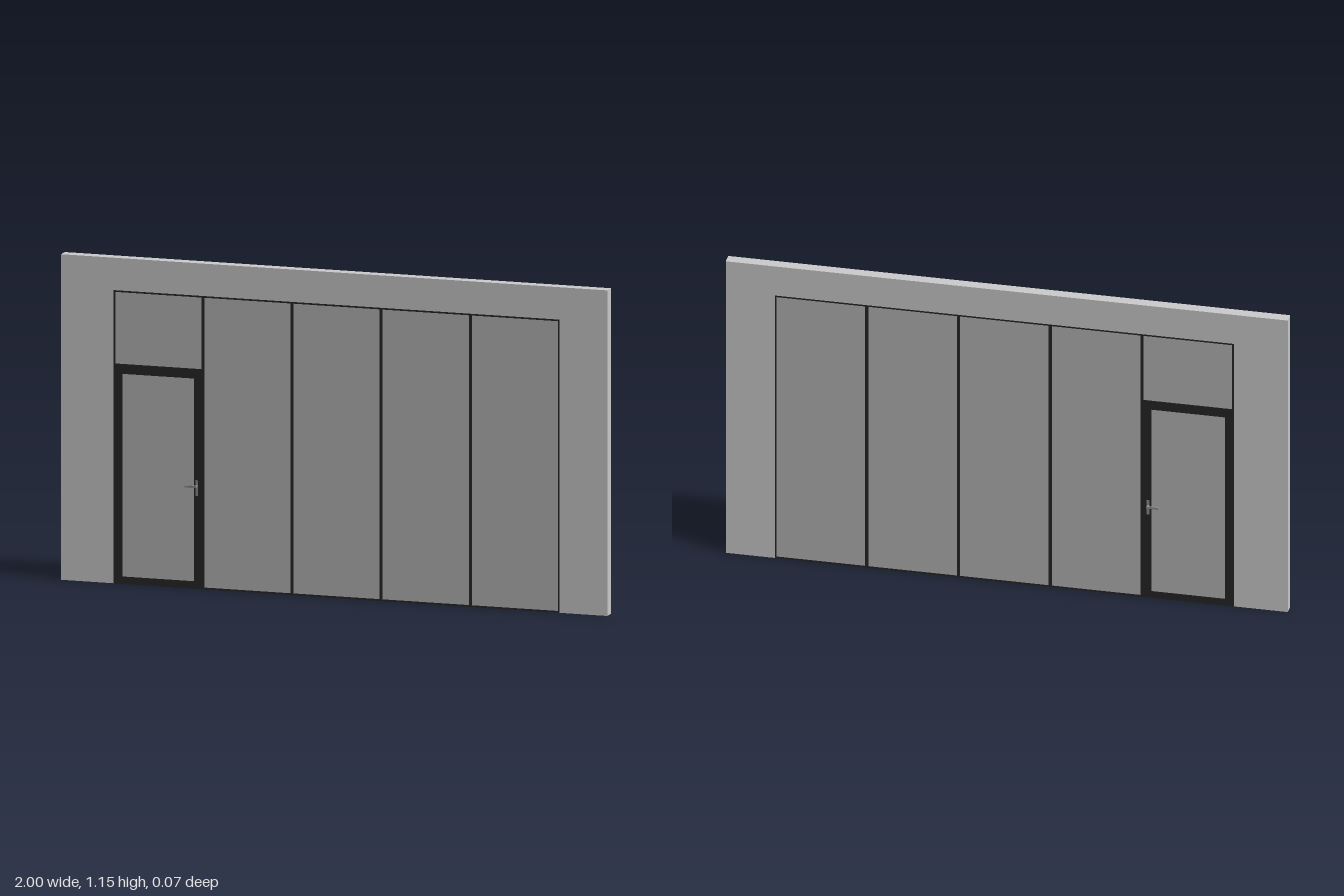
import * as THREE from 'three';

const mat = (color) => new THREE.MeshStandardMaterial({ color });

export function createModel() {
  const model = new THREE.Group();
  model.name = 'glazedPartitionWall';
  const wallMat = mat(0xcccccc), glassMat = mat(0xb6b6b6);
  const frameMat = mat(0x262626), metalMat = mat(0x8c8c8c);

  // Box given by its x, y and z ranges
  const box = (name, x0, x1, y0, y1, z0, z1, material, parent = model) => {
    const mesh = new THREE.Mesh(new THREE.BoxGeometry(x1 - x0, y1 - y0, z1 - z0), material);
    mesh.position.set((x0 + x1) / 2, (y0 + y1) / 2, (z0 + z1) / 2);
    mesh.name = name;
    parent.add(mesh);
    return mesh;
  };

  const left = -0.808, right = 0.825, top = 1.04, height = 1.155;
  const D = 0.02, F = 0.0196, G = 0.0188; // half depths: wall, frame, glass
  const edge = 0.006, seam = 0.011, pitch = (right - left) / 5;

  // Wall with the opening for the partition
  const outline = new THREE.Shape([
    [-1, 0], [left, 0], [left, top], [right, top],
    [right, 0], [1, 0], [1, height], [-1, height],
  ].map(([x, y]) => new THREE.Vector2(x, y)));
  const wallGeo = new THREE.ExtrudeGeometry(outline, { depth: 2 * D, bevelEnabled: false });
  wallGeo.translate(0, 0, -D);
  const wall = new THREE.Mesh(wallGeo, wallMat);
  wall.name = 'wall';
  model.add(wall);

  // Slim perimeter frame
  const frame = new THREE.Group();
  frame.name = 'partitionFrame';
  model.add(frame);
  box('topRail', left, right, top - edge, top, -F, F, frameMat, frame);
  box('bottomRail', left, right, 0, edge, -F, F, frameMat, frame);
  box('sideRail', left, left + edge, edge, top - edge, -F, F, frameMat, frame);
  box('sideRail', right - edge, right, edge, top - edge, -F, F, frameMat, frame);

  // Mullions and full-height panels
  const doorTop = 0.78;
  for (let i = 0; i < 5; i++) {
    const x0 = left + i * pitch + (i ? seam / 2 : edge);
    const x1 = left + (i + 1) * pitch - (i < 4 ? seam / 2 : edge);
    if (i) box('mullion', x0 - seam, x0, edge, top - edge, -F, F, frameMat, frame);
    box(i ? 'glassPanel' : 'transomPanel', x0, x1, i ? edge : doorTop, top - edge, -G, G, glassMat);
  }

  // Door with a broad frame
  const door = new THREE.Group();
  door.name = 'door';
  model.add(door);
  const dl = left, dr = left + pitch + seam / 2, il = -0.776, ir = -0.514, ib = 0.026, it = 0.745;
  box('doorStile', dl, il, 0, doorTop, -D, D, frameMat, door);
  box('doorStile', ir, dr, 0, doorTop, -D, D, frameMat, door);
  box('doorTopRail', il, ir, it, doorTop, -D, D, frameMat, door);
  box('doorBottomRail', il, ir, 0, ib, -D, D, frameMat, door);
  box('doorGlass', il, ir, ib, it, -G, G, glassMat, door);

  // Lever handle on both faces
  for (const s of [1, -1]) {
    const handle = new THREE.Group();
    handle.name = s > 0 ? 'frontHandle' : 'backHandle';
    door.add(handle);
    const part = (name, x0, x1, y0, y1, z0, z1) =>
      box(name, x0, x1, y0, y1, Math.min(s * z0, s * z1), Math.max(s * z0, s * z1), metalMat, handle);
    part('backPlate', -0.508, -0.498, 0.33, 0.385, D, D + 0.002);
    part('lever', -0.542, -0.5, 0.36, 0.368, 0.031, 0.037);
    const spindle = new THREE.Mesh(new THREE.CylinderGeometry(0.004, 0.004, 0.014, 12), metalMat);
    spindle.name = 'spindle';
    spindle.rotation.x = Math.PI / 2;
    spindle.position.set(-0.503, 0.364, s * 0.028);
    handle.add(spindle);
  }
  return model;
}
